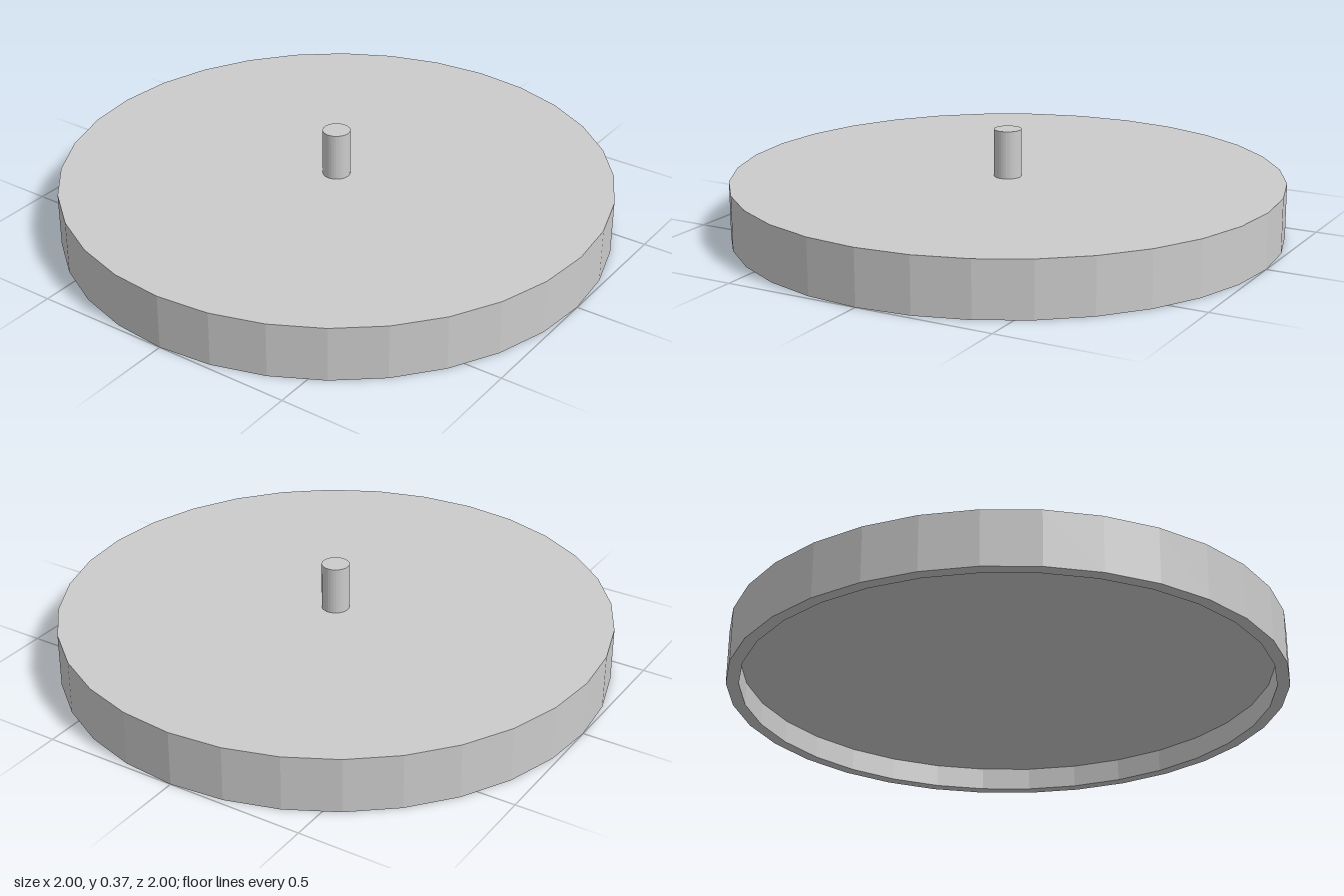
import * as THREE from 'three';

const SIDES = 32;
const RADIUS = 1, INNER = 0.955;       // outer and recess radius
const HEIGHT = 0.2, RECESS = 0.085;    // plate height and depth of the hollow underside
const PIN_RADIUS = 0.05, PIN_TOP = 0.374;

export function createModel() {
  const model = new THREE.Group();
  model.name = 'discWithPin';
  const material = new THREE.MeshStandardMaterial({ color: 0xcccccc, flatShading: true });

  // Disc: hollow underside, rim, outer wall and flat top in one turned profile
  const profile = [
    [0, RECESS], [INNER, RECESS], [INNER, 0],
    [RADIUS, 0], [RADIUS, HEIGHT], [0, HEIGHT],
  ].map(([r, y]) => new THREE.Vector2(r, y));
  const disc = new THREE.Mesh(new THREE.LatheGeometry(profile, SIDES), material);
  disc.name = 'disc';
  model.add(disc);

  // Centre pin standing on the disc
  const pinHeight = PIN_TOP - HEIGHT;
  const pin = new THREE.Mesh(
    new THREE.CylinderGeometry(PIN_RADIUS, PIN_RADIUS, pinHeight, SIDES), material);
  pin.name = 'centrePin';
  pin.position.y = HEIGHT + pinHeight / 2;
  model.add(pin);

  return model;
}
